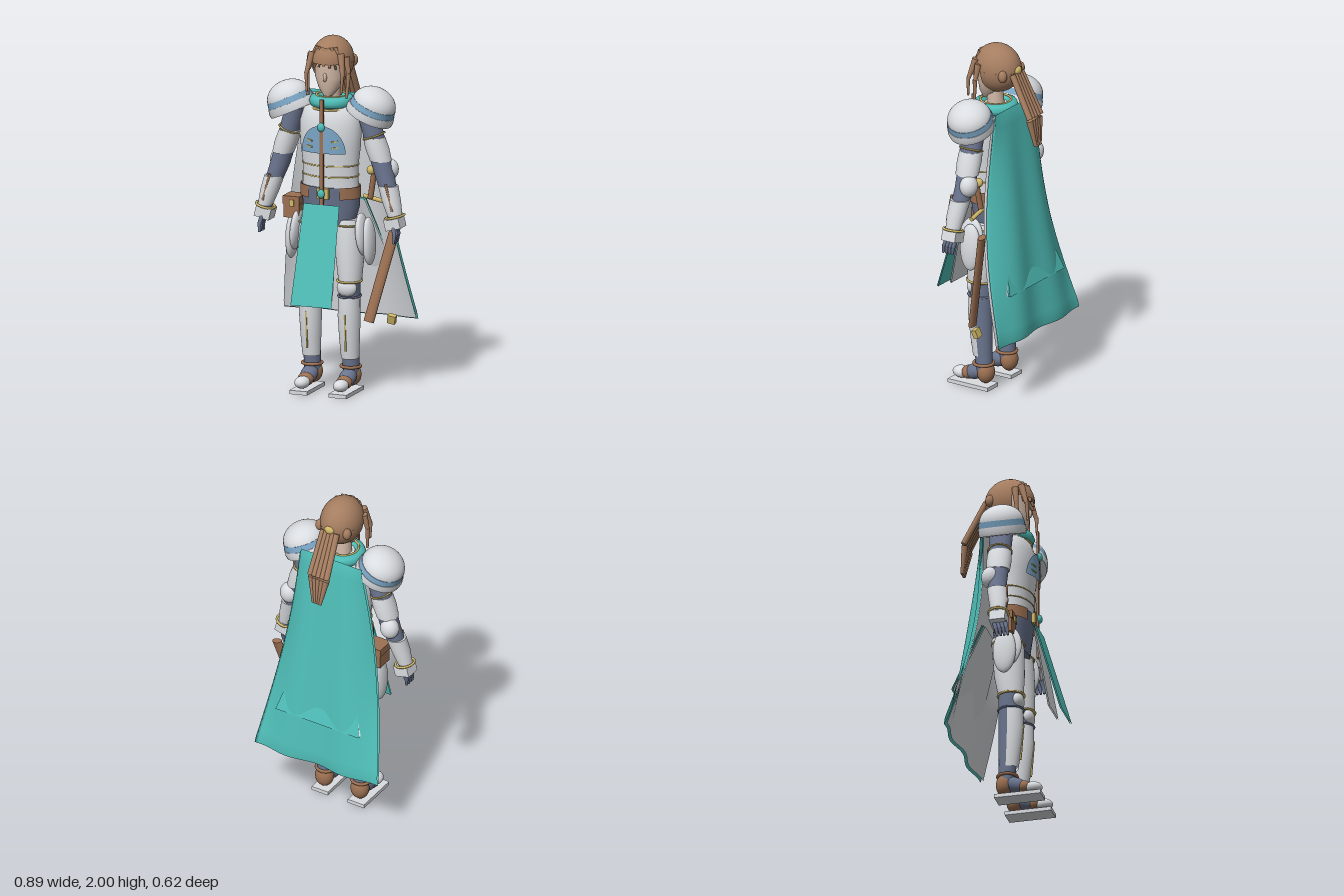
import * as THREE from 'three';

const paint = (name, color, side = THREE.DoubleSide) => {
  const m = new THREE.MeshStandardMaterial({ color, side });
  m.name = name;
  return m;
};

export function createModel() {
  const white = paint('white armor', 0xd9dce0), teal = paint('teal cloth', 0x4fbdb7);
  const hair = paint('brown hair', 0xa57d60), leather = paint('brown leather', 0x9c7052);
  const gold = paint('gold trim', 0xcfb768), slate = paint('slate cloth', 0x6a748e);
  const blue = paint('blue plate', 0x7ba6c6), skin = paint('skin', 0xd0b7a6);
  const model = new THREE.Group();
  const V = (p) => new THREE.Vector3(...p);

  const add = (name, geo, mat, pos = [0, 0, 0], rot = [0, 0, 0], scale = [1, 1, 1], parent = model) => {
    const m = new THREE.Mesh(geo, mat);
    m.name = name;
    m.position.set(...pos);
    m.rotation.set(...rot);
    m.scale.set(...scale);
    parent.add(m);
    return m;
  };
  const box = (name, mat, size, pos, rot) => add(name, new THREE.BoxGeometry(...size), mat, pos, rot);
  const ball = (name, mat, pos, radii, rot) => add(name, new THREE.SphereGeometry(1, 28, 18), mat, pos, rot, radii);
  const ring = (name, mat, pos, rx, rz, tube = 0.006, tilt = 0) => {
    const g = new THREE.TorusGeometry(1, tube / rx, 8, 36).rotateX(Math.PI / 2);
    return add(name, g, mat, pos, [0, 0, tilt], [rx, rx, rz]);
  };
  // Tapered rod between two points, optionally flattened
  const rod = (name, mat, a, b, r0, r1 = r0, flat = 1) => {
    const d = V(b).sub(V(a));
    const m = add(name, new THREE.CylinderGeometry(r1, r0, d.length(), 14), mat, V(a).add(V(b)).multiplyScalar(0.5).toArray(), [0, 0, 0], [1, 1, flat]);
    m.quaternion.setFromUnitVectors(new THREE.Vector3(0, 1, 0), d.normalize());
    return m;
  };
  // Elliptical rings [x, y, z, rx, rz] from bottom to top; a0..a1 limits the arc around +z
  const loft = (name, mat, rings, a0 = 0, a1 = Math.PI * 2, parent = model) => {
    const n = 32, full = a1 - a0 > 6.28, pos = [], idx = [], cols = full ? n : n + 1;
    const lo = rings[0], hi = rings[rings.length - 1];
    const flatEnd = ([x, y, z]) => [x, y, z, 0, 0];
    const all = full ? [flatEnd(lo), lo, ...rings, hi, flatEnd(hi)] : rings;
    all.forEach(([x, y, z, rx, rz], i) => {
      for (let j = 0; j < cols; j++) {
        const a = a0 + (a1 - a0) * j / n;
        pos.push(x + rx * Math.sin(a), y, z + rz * Math.cos(a));
      }
      if (i === all.length - 1) return;
      for (let j = 0; j < n; j++) {
        const p = i * cols + j, q = i * cols + (j + 1) % cols;
        idx.push(p, q, p + cols, q, q + cols, p + cols);
      }
    });
    const g = new THREE.BufferGeometry();
    g.setAttribute('position', new THREE.Float32BufferAttribute(pos, 3));
    g.setIndex(idx);
    g.computeVertexNormals();
    return add(name, g, mat, undefined, undefined, undefined, parent);
  };
  // Surface given by f(u, v)
  const sheet = (name, mat, f, nu = 40, nv = 24) => {
    const g = new THREE.PlaneGeometry(1, 1, nu, nv), p = g.attributes.position;
    for (let i = 0; i < p.count; i++) p.setXYZ(i, ...f(p.getX(i) + 0.5, 0.5 - p.getY(i)));
    g.computeVertexNormals();
    return add(name, g, mat);
  };

  // Head and hair
  loft('face', skin, [[0, 1.675, 0.06, 0.025, 0.025], [0, 1.72, 0.04, 0.06, 0.06], [0, 1.78, 0.025, 0.085, 0.08], [0, 1.88, 0.015, 0.095, 0.09]]);
  loft('neck', skin, [[0, 1.58, 0, 0.05, 0.05], [0, 1.73, 0.01, 0.045, 0.045]]);
  ball('nose', skin, [0, 1.785, 0.105], [0.011, 0.025, 0.014]);
  const capPos = [0, 1.862, -0.008], capSize = [0.117, 0.138, 0.14];
  add('hairCap', new THREE.SphereGeometry(1, 36, 16, 0, Math.PI * 2, 0, Math.PI * 0.5), hair, capPos, [0, 0, 0], capSize);
  add('backHair', new THREE.SphereGeometry(1, 36, 16, Math.PI - 0.3, Math.PI + 0.6, Math.PI * 0.5, Math.PI * 0.5), hair, capPos, [0, 0, 0], capSize);
  for (let i = -3; i <= 3; i++) {
    const x = i * 0.026;
    rod('fringeLock', hair, [x * 0.6, 1.95, 0.095 - Math.abs(x) * 0.3], [x * 1.25, 1.853 - Math.abs(x) * 0.35, 0.13 - Math.abs(x) * 0.45], 0.02, 0.008, 0.6);
  }
  for (const s of [1, -1]) {
    for (const [a, b, r] of [
      [[0.085, 1.92, 0.08], [0.108, 1.8, 0.115], 0.02], [[0.108, 1.81, 0.115], [0.102, 1.7, 0.12], 0.011],
      [[0.105, 1.9, 0.05], [0.123, 1.8, 0.06], 0.02], [[0.123, 1.81, 0.06], [0.115, 1.67, 0.07], 0.013]])
      rod('sideLock', hair, [s * a[0], a[1], a[2]], [s * b[0], b[1], b[2]], r, r * 0.55);
    ball('sideBun', hair, [s * 0.088, 1.85, -0.1], [0.024, 0.035, 0.025]);
  }
  ball('hairTie', gold, [0, 1.87, -0.14], [0.03, 0.025, 0.02]);
  for (let i = -2; i <= 2; i++) {
    const x = i * 0.024;
    rod('ponytailUpper', hair, [x * 0.9, 1.855, -0.135], [x * 1.1, 1.62, -0.258], 0.017, 0.017);
    rod('ponytailLower', hair, [x, 1.61, -0.252], [x * 0.45, 1.455, -0.275], 0.019, 0.009);
  }

  // Torso, collar and belt
  loft('chestArmor', white, [[0, 1.15, 0.02, 0.163, 0.1], [0, 1.28, 0.02, 0.16, 0.105], [0, 1.4, 0.02, 0.175, 0.118], [0, 1.52, 0.02, 0.178, 0.12], [0, 1.6, 0.01, 0.155, 0.1], [0, 1.65, 0, 0.08, 0.07]]);
  loft('hips', slate, [[0, 0.93, 0.01, 0.13, 0.09], [0, 1.05, 0.01, 0.165, 0.105], [0, 1.165, 0.02, 0.167, 0.108]]);
  loft('belt', leather, [[0, 1.1, 0.02, 0.174, 0.112], [0, 1.168, 0.02, 0.174, 0.114]], 0.55, Math.PI * 2 - 0.55);
  ring('waistTrimUpper', gold, [0, 1.287, 0.02], 0.162, 0.107, 0.004);
  ring('waistTrimLower', gold, [0, 1.225, 0.02], 0.163, 0.105, 0.004);
  ring('collar', teal, [0, 1.637, 0.005], 0.092, 0.092, 0.034);
  ring('collarTrim', gold, [0, 1.67, 0.005], 0.085, 0.085, 0.006);
  ring('collarLowerTrim', gold, [0, 1.602, 0.005], 0.12, 0.11, 0.006);
  sheet('breastPlate', blue, (u, v) => {
    const x = (2 * u - 1) * 0.13 * Math.sqrt(1 - v * v * 0.97);
    return [x, 1.365 + 0.155 * v, 0.037 + 0.12 * Math.sqrt(1 - (x / 0.18) ** 2)];
  }, 24, 12);
  for (const s of [1, -1]) for (const y of [1.40, 1.435])
    box('plateSlit', gold, [0.04, 0.007, 0.008], [s * 0.075, y, 0.147], [0, s * 0.4, s * 0.1]);
  box('frontStrap', leather, [0.022, 0.77, 0.012], [0, 1.285, 0.152]);
  box('buckle', gold, [0.07, 0.06, 0.02], [0, 1.135, 0.135]);
  for (const y of [1.515, 1.138]) ball('gem', teal, [0, y, 0.163], [0.021, 0.025, 0.014]);
  box('pouch', leather, [0.09, 0.12, 0.1], [-0.215, 1.025, 0.02]);
  box('pouchFlap', leather, [0.098, 0.045, 0.11], [-0.215, 1.065, 0.02]);
  box('pouchClasp', gold, [0.025, 0.035, 0.01], [-0.21, 1.05, 0.078]);

  // Hanging cloths: [name, material, top y/z/half width, bottom y/z/half width]
  for (const [name, mat, y0, z0, w0, y1, z1, w1] of [
    ['frontCloth', teal, 1.075, 0.152, 0.105, 0.53, 0.308, 0.12],
    ['frontLining', white, 1.05, 0.148, 0.09, 0.56, 0.235, 0.1],
    ['backTail', teal, 1.07, -0.13, 0.15, 0.64, -0.272, 0.27],
    ['backTailLining', white, 1.06, -0.118, 0.15, 0.64, -0.26, 0.27]])
    for (const d of [0, 0.008])
      sheet(name, mat, (u, v) => [(2 * u - 1) * (w0 + (w1 - w0) * v), y0 + (y1 - y0) * v, z0 + (z1 - z0) * v + d], 8, 8);

  // Cape with folds and pale lining
  const cape = (s, v, off) => {
    const fold = -0.025 * v * (1 - Math.cos(2.2 * Math.PI * s)) / 2 + 0.075 * s ** 4 * Math.sin(Math.PI * v);
    return [s * (0.195 + 0.205 * v), 1.66 - 1.288 * v, -0.13 - 0.156 * v + fold + off];
  };
  sheet('cape', teal, (u, v) => {
    const back = u <= 0.5, edge = v < 0.001 || v > 0.999;
    return cape(back ? 4 * u - 1 : 3 - 4 * u, v, edge ? 0.008 : back ? 0 : 0.016);
  }, 80, 32);
  sheet('capeLining', white, (u, v) => cape((2 * u - 1) * 0.99, 0.01 + v * 0.985, 0.022));

  for (const s of [1, -1]) {
    const side = (rings) => rings.map(([x, ...r]) => [s * x, ...r]);

    // Layered shoulder guard
    const guard = new THREE.Group();
    guard.name = 'shoulderGuard';
    guard.position.set(s * 0.226, 1.572, 0.01);
    guard.rotation.z = -s * 0.42;
    model.add(guard);
    const dome = [];
    for (let i = 0; i <= 10; i++) {
      const a = i / 10 * Math.PI / 2, r = 0.124 * Math.cos(a) + 0.0005;
      dome.push([0, 0.066 + 0.098 * Math.sin(a), 0, r, r]);
    }
    loft('guardDome', white, dome, 0, Math.PI * 2, guard);
    loft('guardBand', blue, [[0, 0.034, 0, 0.131, 0.131], [0, 0.074, 0, 0.126, 0.126]], 0, Math.PI * 2, guard);
    loft('guardRim', white, [[0, -0.008, 0, 0.136, 0.13], [0, 0.012, 0, 0.139, 0.134], [0, 0.04, 0, 0.133, 0.133]], 0, Math.PI * 2, guard);

    // Arm
    loft('armSleeve', slate, side([[0.39, 0.98, 0.03, 0.034, 0.034], [0.36, 1.1, 0.022, 0.045, 0.045], [0.31, 1.25, 0, 0.056, 0.056], [0.25, 1.45, 0, 0.058, 0.062], [0.215, 1.58, 0, 0.06, 0.065]]));
    loft('upperArmPlate', white, side([[0.29, 1.32, 0, 0.06, 0.066], [0.268, 1.39, 0, 0.066, 0.07], [0.25, 1.45, 0, 0.06, 0.066]]));
    loft('forearmPlate', white, side([[0.385, 1.02, 0.028, 0.042, 0.043], [0.362, 1.1, 0.022, 0.053, 0.054], [0.338, 1.185, 0.01, 0.056, 0.058]]));
    ring('armTrim', gold, [s * 0.25, 1.455, 0], 0.061, 0.066, 0.005, s * 0.35);
    ball('elbowGuard', white, [s * 0.325, 1.265, -0.035], [0.055, 0.062, 0.05]);
    rod('forearmStrap', leather, [s * 0.345, 1.2, 0.065], [s * 0.385, 1.05, 0.07], 0.007);
    box('gauntlet', white, [0.09, 0.065, 0.09], [s * 0.385, 0.98, 0.03], [0, 0, s * 0.25]);
    ring('wristTrim', gold, [s * 0.385, 1.015, 0.028], 0.053, 0.055, 0.007, s * 0.25);
    for (let i = 0; i < 4; i++) {
      const z = 0.005 + i * 0.02;
      rod('finger', slate, [s * 0.392, 0.96, z], [s * 0.402, 0.915, z + 0.012], 0.013, 0.011);
      rod('fingertip', slate, [s * 0.402, 0.92, z + 0.012], [s * 0.398, 0.872, z + 0.02], 0.011, 0.007);
    }

    // Leg
    loft('thighArmor', white, side([[0.12, 0.63, 0.03, 0.064, 0.07], [0.115, 0.75, 0.02, 0.077, 0.085], [0.105, 0.92, 0.01, 0.086, 0.09], [0.095, 0.98, 0, 0.08, 0.085]]));
    loft('legging', slate, side([[0.115, 0.08, 0.0, 0.046, 0.044], [0.115, 0.22, 0.01, 0.048, 0.05], [0.115, 0.42, 0.02, 0.057, 0.062], [0.115, 0.66, 0.025, 0.06, 0.065]]));
    loft('shinGuard', white, side([[0.115, 0.19, 0.015, 0.051, 0.054], [0.115, 0.3, 0.022, 0.058, 0.064], [0.115, 0.43, 0.028, 0.064, 0.072], [0.115, 0.54, 0.028, 0.06, 0.068]]), -1.65, 1.65);
    box('shinTrim', gold, [0.008, 0.21, 0.008], [s * 0.115, 0.345, 0.092], [0.08, 0, 0]);
    ball('kneeGuard', white, [s * 0.115, 0.595, 0.068], [0.058, 0.05, 0.035]);
    ring('kneeTrim', gold, [s * 0.117, 0.632, 0.03], 0.068, 0.074, 0.006);
    ring('lowerKneeTrim', slate, [s * 0.116, 0.545, 0.028], 0.062, 0.07, 0.006);
    ring('thighTrim', gold, [s * 0.105, 0.95, 0.01], 0.085, 0.09, 0.005);
    ball('hipPlateOuter', white, [s * 0.228, 0.86, 0.02], [0.033, 0.135, 0.065], [0, 0, s * 0.05]);
    ball('hipPlateInner', white, [s * 0.195, 0.9, 0.035], [0.03, 0.12, 0.075], [0, 0, s * 0.1]);

    // Boot
    ring('ankleTrim', leather, [s * 0.115, 0.142, 0.008], 0.054, 0.054, 0.009);
    ball('heel', leather, [s * 0.115, 0.092, -0.008], [0.054, 0.064, 0.048]);
    ball('instep', slate, [s * 0.115, 0.085, 0.055], [0.047, 0.045, 0.075], [0.4, 0, 0]);
    ball('bootStrap', leather, [s * 0.115, 0.068, 0.105], [0.045, 0.038, 0.04]);
    ball('toeCap', white, [s * 0.115, 0.06, 0.155], [0.042, 0.034, 0.052]);
    box('sole', white, [0.105, 0.022, 0.265], [s * 0.117, 0.011 + 0.008 - 0.008, 0.078]);
  }

  // Sword and sheath on the left hip
  const sheath = rod('sheath', leather, [0.222, 0.4, 0.01], [0.345, 0.99, -0.135], 0.03, 0.03, 0.6);
  sheath.name = 'sheath';
  box('sheathTip', gold, [0.045, 0.05, 0.03], [0.322, 0.405, -0.085], [0.3, 0, -0.2]);
  rod('grip', leather, [0.212, 1.09, -0.04], [0.238, 1.235, -0.03], 0.016);
  rod('guard', gold, [0.17, 1.1, -0.045], [0.322, 1.07, -0.05], 0.012);
  ball('pommel', gold, [0.222, 1.252, -0.03], [0.026, 0.026, 0.026]);
  return model;
}
